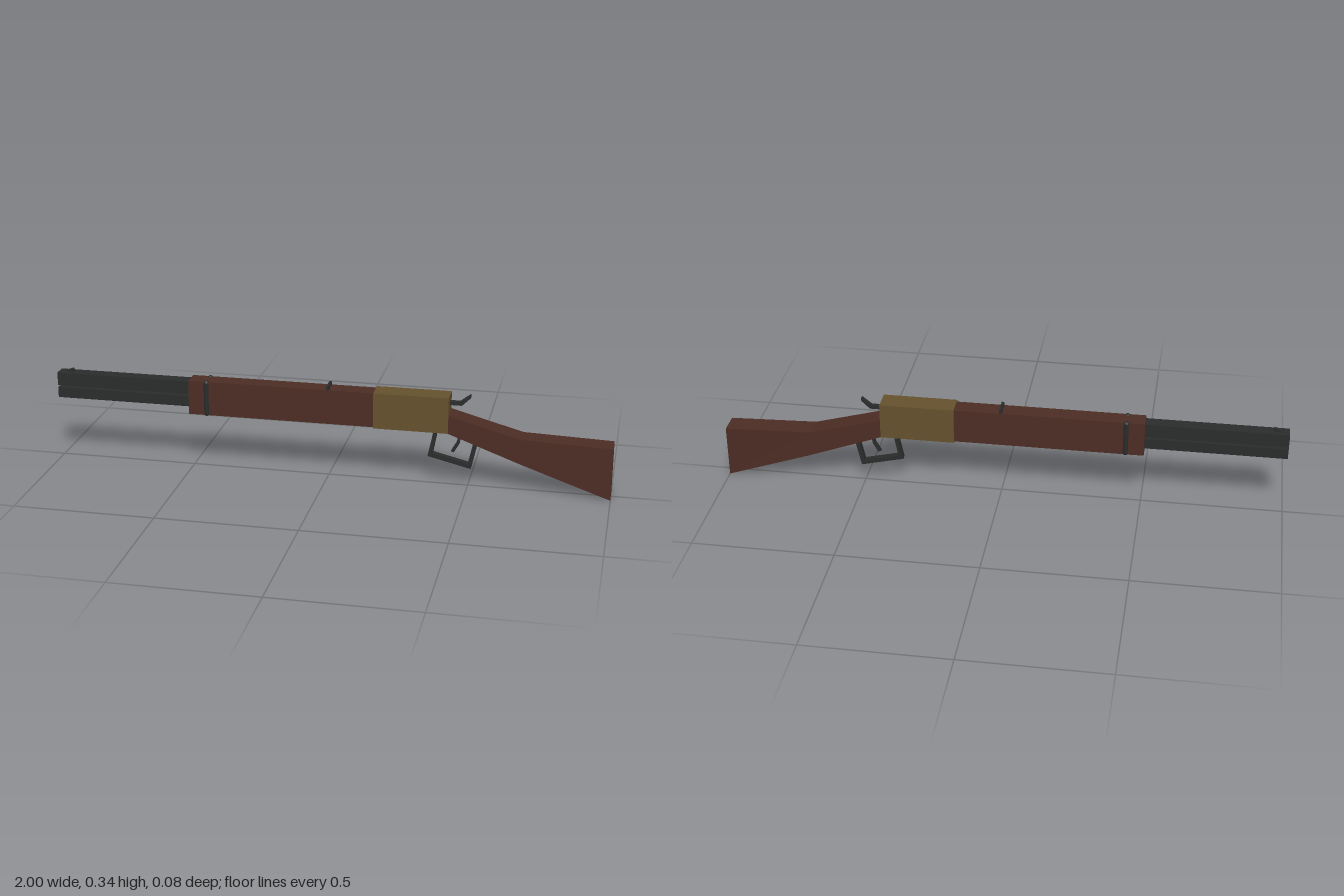
import * as THREE from 'three';

export function createModel() {
  const model = new THREE.Group();
  model.name = 'leverActionRifle';
  const mat = (name, color) => {
    const m = new THREE.MeshStandardMaterial({ color });
    m.name = name;
    return m;
  };
  const wood = mat('darkWood', 0x4b2c23);
  const brass = mat('agedBrass', 0x64502c);
  const steel = mat('blackSteel', 0x2a2b2b);

  const add = (name, geometry, material) => {
    const mesh = new THREE.Mesh(geometry, material);
    mesh.name = name;
    model.add(mesh);
    return mesh;
  };
  // Box given by its x and y limits, its width and its z centre
  const box = (name, x0, x1, y0, y1, width, material, z = 0) =>
    add(name, new THREE.BoxGeometry(x1 - x0, y1 - y0, width), material)
      .position.set((x0 + x1) / 2, (y0 + y1) / 2, z);
  // Side profile extruded symmetrically about z = 0
  const toPoints = (list) => list.map(([x, y]) => new THREE.Vector2(x, y));
  const plate = (name, outline, width, material, hole) => {
    const shape = new THREE.Shape(toPoints(outline));
    if (hole) shape.holes.push(new THREE.Path(toPoints(hole)));
    const geometry = new THREE.ExtrudeGeometry(shape, { depth: width, bevelEnabled: false });
    add(name, geometry.translate(0, 0, -width / 2), material);
  };

  // Barrel above the magazine tube, with a narrow gap between
  box('barrel', -1, -0.48, 0.276, 0.324, 0.048, steel);
  box('magazineTube', -1, -0.48, 0.23, 0.268, 0.048, steel);

  // Wooden fore-end and brass receiver
  box('foreEnd', -0.505, 0.165, 0.205, 0.33, 0.066, wood);
  box('receiver', 0.165, 0.43, 0.203, 0.333, 0.08, brass);

  // Stock
  plate('stock', [[0.42, 0.206], [0.43, 0.203], [0.695, 0.105], [1, 0],
    [1, 0.19], [0.685, 0.2], [0.43, 0.27], [0.42, 0.27]], 0.08, wood);

  // Lever loop and trigger
  plate('leverLoop', [[0.378, 0.21], [0.356, 0.103], [0.51, 0.066], [0.533, 0.172], [0.516, 0.18], [0.43, 0.21]],
    0.022, steel, [[0.39, 0.203], [0.374, 0.115], [0.499, 0.085], [0.517, 0.168], [0.43, 0.203]]);
  plate('trigger', [[0.465, 0.2], [0.458, 0.162], [0.438, 0.126], [0.448, 0.122],
    [0.467, 0.155], [0.475, 0.2]], 0.012, steel);

  // Hammer
  plate('hammer', [[0.42, 0.298], [0.472, 0.298], [0.502, 0.327], [0.502, 0.34],
    [0.466, 0.312], [0.42, 0.312]], 0.014, steel);

  // Front sight blade and notched rear sight
  plate('frontSight', [[-0.968, 0.32], [-0.945, 0.32], [-0.945, 0.338], [-0.968, 0.33]], 0.012, steel);
  for (const side of [-1, 1]) {
    box('rearSight', -0.005, 0.005, 0.325, 0.343, 0.024, steel, side * 0.02);
  }

  // Barrel band: rounded bars along both sides of the fore-end
  for (const side of [-1, 1]) {
    const bar = add('barrelBand', new THREE.CapsuleGeometry(0.01, 0.114, 3, 10), steel);
    bar.position.set(-0.44, 0.268, side * 0.029);
  }
  return model;
}
